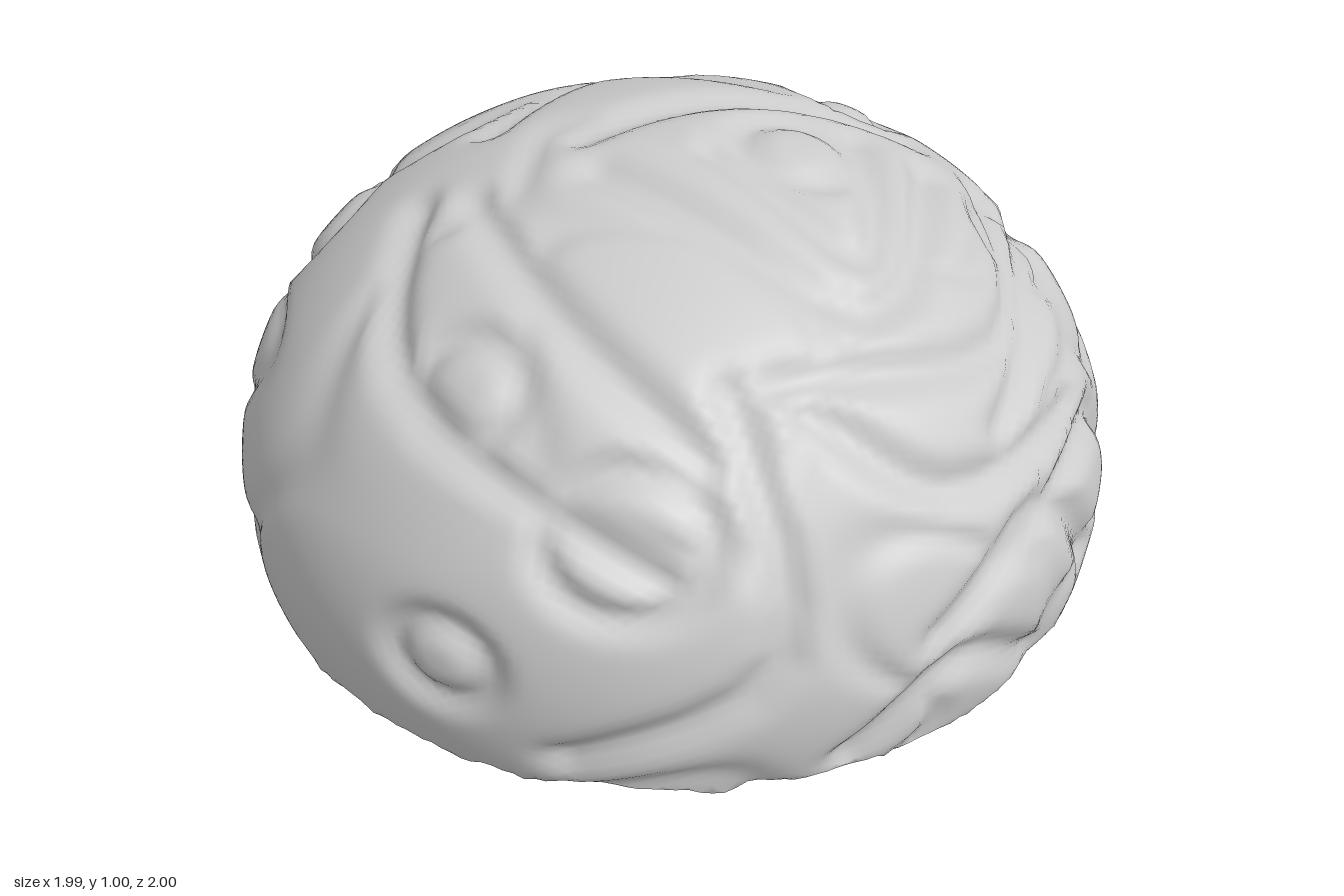
import * as THREE from 'three';
import { mergeVertices } from 'three/addons/utils/BufferGeometryUtils.js';

const CENTRE_Y = 0.2, HALF_HEIGHT = 0.8, FLOOR = 0.02;

// Unit-sphere point from its plan position, its front position or its side position
const rest = (a, b) => Math.sqrt(Math.max(0, 1 - a * a - b * b));
const level = (y) => (y - CENTRE_Y) / HALF_HEIGHT;
const top = (x, z) => new THREE.Vector3(x, rest(x, z), z).normalize();
const front = (x, y) => new THREE.Vector3(x, level(y), rest(x, level(y))).normalize();
const side = (z, y) => new THREE.Vector3(rest(z, level(y)), level(y), z).normalize();

// A furrow is a smooth curve through three points, kept on the sphere
const furrow = (...points) => new THREE.CatmullRomCurve3(points).getPoints(8).map((p) => p.normalize());

const furrows = [
  furrow(top(0.05, 0.1), top(0.25, 0.46), top(0.42, 0.05)),
  furrow(top(-0.45, 0), top(-0.4, 0.4), top(-0.22, 0.76)),
  furrow(top(-0.2, 0.08), top(0.2, 0.58), top(0.55, 0.15)),
  furrow(top(-0.05, 0.68), top(0.5, 0.6), top(0.72, 0.1)),
  furrow(top(0, 0.74), top(0.25, 0.85), top(0.68, 0.62)),
  furrow(top(-0.8, -0.5), top(-0.5, -0.68), top(0.02, -0.74)),
  furrow(top(-0.72, -0.6), top(-0.1, -0.9), top(0.55, -0.55)),
  furrow(top(-0.32, -0.3), top(0.1, -0.56), top(0.52, -0.38)),
  furrow(top(-0.18, -0.08), top(0.2, -0.14), top(0.6, -0.05)),
  furrow(top(-0.55, -0.1), top(-0.7, 0.3), top(-0.35, 0.85)),
  furrow(front(0.2, 0.3), front(0.5, 0.43), front(0.72, 0.15)),
  furrow(front(0, 0.06), front(0.25, 0.22), front(0.5, 0.06)),
  furrow(front(-0.14, 0.78), front(-0.15, 0.35), front(-0.55, 0.1)),
  furrow(side(0.9, 0.38), side(0.55, 0.42), side(0.45, 0.15)),
  furrow(side(0.75, 0.6), side(0.2, 0.68), side(-0.1, 0.48)),
];

// Round ring furrows
const ring = (centre, radius) => ({ centre, radius });
const rings = [
  ring(top(0.25, 0.12), 0.13), ring(top(0.72, 0.27), 0.12), ring(top(0.55, -0.25), 0.1),
  ring(top(0.75, -0.4), 0.13), ring(top(-0.65, -0.5), 0.16), ring(top(-0.6, 0.42), 0.12),
  ring(front(-0.4, 0.57), 0.17), ring(front(-0.75, 0.28), 0.11),
  ring(side(-0.32, 0.57), 0.2), ring(side(-0.75, 0.22), 0.13),
];

// Gentle swirling folds that fill the areas between the furrows
function folds({ x, y, z }) {
  const a = x + 0.3 * Math.sin(3.1 * y + 2.3 * z + 1);
  const b = y + 0.3 * Math.sin(2.7 * z - 3.3 * x + 2);
  const c = z + 0.3 * Math.sin(3.5 * x + 2.1 * y);
  const n = Math.sin(5 * a + 1) * Math.cos(4.5 * b) + Math.sin(5.5 * b + 2) * Math.cos(4.7 * c)
    + Math.sin(4.9 * c) * Math.cos(5.3 * a);
  return Math.exp(-Math.pow(n / 0.3, 2));
}

const bell = (d, width) => Math.exp(-(d * d) / (width * width));
const segment = new THREE.Line3(), nearest = new THREE.Vector3();

// Depth of the surface below the plain dome
function depth(u) {
  let cut = 0.018 * folds(u);
  for (const line of furrows) {
    for (let i = 1; i < line.length; i++) {
      segment.set(line[i - 1], line[i]).closestPointToPoint(u, true, nearest);
      cut = Math.max(cut, 0.036 * bell(nearest.distanceTo(u), 0.05));
    }
  }
  for (const { centre, radius } of rings) {
    cut = Math.max(cut, 0.03 * bell(u.distanceTo(centre) - radius, 0.04));
  }
  return cut;
}

export function createModel() {
  const group = new THREE.Group();

  // Even sphere with shared corners, shaped into a furrowed dome with a flat underside
  let geometry = new THREE.IcosahedronGeometry(1, 44);
  geometry.deleteAttribute('uv');
  geometry.deleteAttribute('normal');
  geometry = mergeVertices(geometry, 1e-4);
  const position = geometry.attributes.position;
  const u = new THREE.Vector3();
  for (let i = 0; i < position.count; i++) {
    u.fromBufferAttribute(position, i).normalize();
    const r = 1 - (u.y > -0.35 ? depth(u) : 0);
    let y = CENTRE_Y + HALF_HEIGHT * u.y * r;
    if (y < FLOOR) {
      // Slightly ragged rim around the flat base
      const angle = Math.atan2(u.z, u.x);
      const rag = Math.max(0, Math.sin(23 * angle) * Math.sin(9 * angle + 1));
      y = u.y > -0.27 ? FLOOR * (1 - rag) : FLOOR;
    }
    position.setXYZ(i, u.x * r, y, u.z * r);
  }
  geometry.computeVertexNormals();

  const dome = new THREE.Mesh(geometry, new THREE.MeshStandardMaterial({ color: 0xcccccc }));
  dome.name = 'furrowedDome';
  group.add(dome);
  return group;
}
